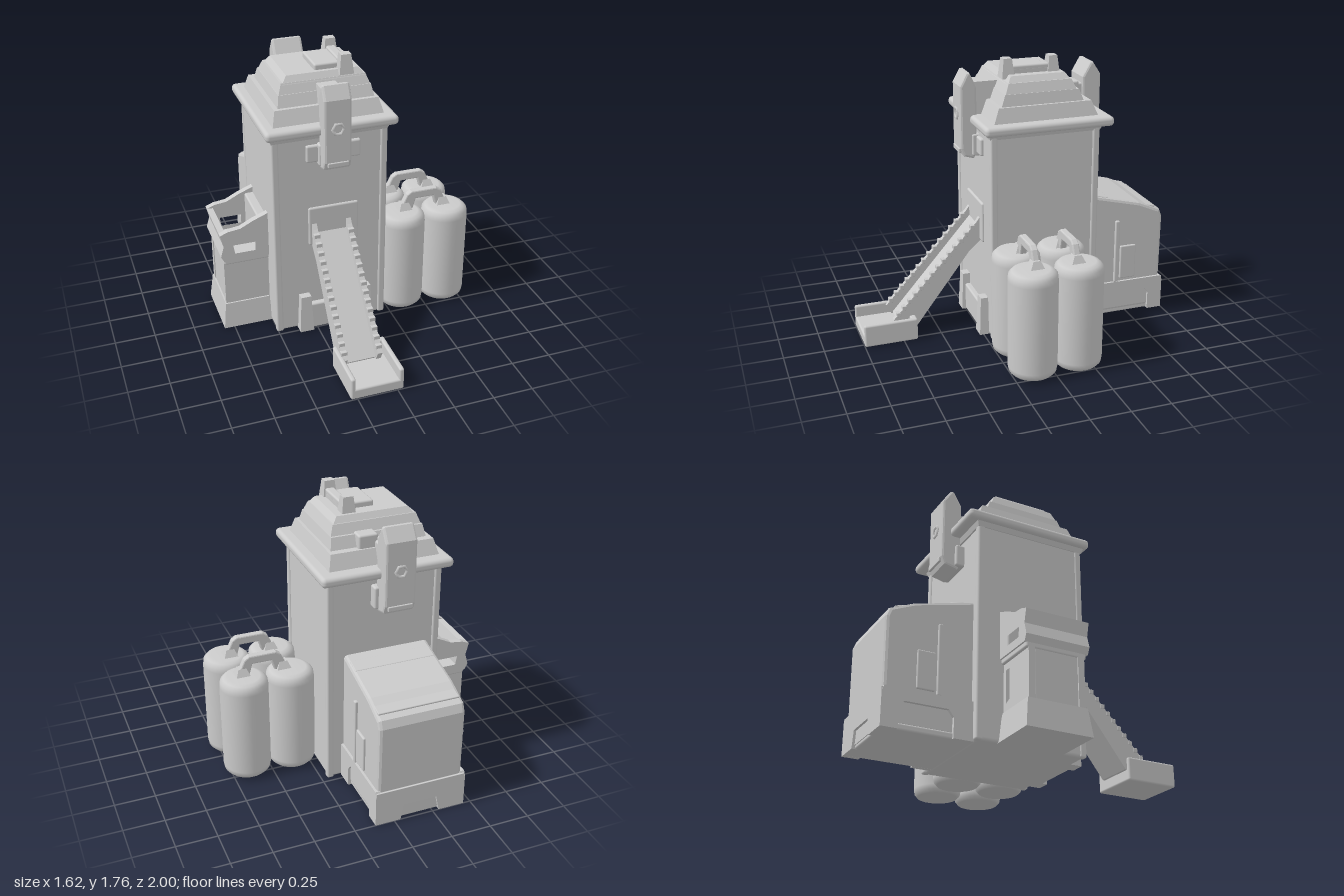
import * as THREE from 'three';
import { RoundedBoxGeometry } from 'three/addons/geometries/RoundedBoxGeometry.js';

const material = new THREE.MeshStandardMaterial({ color: 0xcccccc });

export function createModel() {
  const model = new THREE.Group();

  const add = (name, geometry) => {
    const mesh = new THREE.Mesh(geometry, material);
    mesh.name = name;
    model.add(mesh);
    return mesh;
  };

  // Softened box between two corners
  const block = (name, x0, x1, y0, y1, z0, z1, r = 0.012) => {
    const g = new RoundedBoxGeometry(x1 - x0, y1 - y0, z1 - z0, 2, r);
    g.translate((x0 + x1) / 2, (y0 + y1) / 2, (z0 + z1) / 2);
    return add(name, g);
  };

  // Box whose top face is pulled inwards
  const taper = (name, x0, x1, y0, y1, z0, z1, insetX, insetZ = insetX) => {
    const g = new THREE.BoxGeometry(x1 - x0, y1 - y0, z1 - z0);
    const p = g.attributes.position;
    for (let i = 0; i < p.count; i++) {
      if (p.getY(i) < 0) continue;
      p.setX(i, p.getX(i) - Math.sign(p.getX(i)) * insetX);
      p.setZ(i, p.getZ(i) - Math.sign(p.getZ(i)) * insetZ);
    }
    g.computeVertexNormals();
    g.translate((x0 + x1) / 2, (y0 + y1) / 2, (z0 + z1) / 2);
    return add(name, g);
  };

  // Outline extruded along z, points are [x, y]
  const vec = (pts) => pts.map(([a, b]) => new THREE.Vector2(a, b));
  const outline = (pts, from, to, holes = [], bevel = 0) => {
    const shape = new THREE.Shape(vec(pts));
    holes.forEach((h) => shape.holes.push(new THREE.Path(vec(h))));
    const g = new THREE.ExtrudeGeometry(shape, {
      depth: to - from - 2 * bevel, bevelEnabled: bevel > 0, bevelSize: bevel,
      bevelThickness: bevel, bevelOffset: -bevel, bevelSegments: 2,
    });
    return g.translate(0, 0, from + bevel);
  };
  const prismZ = (name, pts, ...rest) => add(name, outline(pts, ...rest));
  // Outline extruded along x, points are [z, y]
  const prismX = (name, pts, from, to, holes = [], bevel = 0) => {
    const flip = (list) => list.map(([z, y]) => [-z, y]);
    return add(name, outline(flip(pts), from, to, holes.map(flip), bevel).rotateY(Math.PI / 2));
  };

  // Tower with slim corner posts
  block('tower', -0.505, 0.205, 0, 1.38, -0.465, 0.215, 0.02);
  for (const x of [-0.51, 0.17]) {
    for (const z of [-0.475, 0.18]) block('cornerPost', x, x + 0.045, 0, 1.37, z, z + 0.045);
  }

  // Stepped roof
  taper('eavesCove', -0.51, 0.21, 1.32, 1.37, -0.475, 0.225, -0.02);
  block('eaves', -0.55, 0.27, 1.35, 1.41, -0.55, 0.27, 0.025);
  taper('lowerRoof', -0.49, 0.2, 1.4, 1.5, -0.47, 0.2, 0.025, 0.04);
  taper('middleRoof', -0.44, 0.16, 1.49, 1.57, -0.39, 0.14, 0.015, 0.03);
  taper('upperRoof', -0.425, 0.145, 1.56, 1.63, -0.35, 0.11, 0.025, 0.03);
  taper('roofCap', -0.395, 0.12, 1.62, 1.665, -0.32, 0.085, 0.035, 0.03);
  block('roofPlate', -0.18, 0.03, 1.65, 1.7, -0.21, 0.03);
  block('roofRail', -0.03, 0.03, 1.68, 1.715, -0.22, 0.05);
  for (const z of [0.055, -0.235]) {
    taper('roofPost', -0.045, 0.045, 1.64, 1.76, z - 0.04, z + 0.04, 0.014, 0.014);
  }
  block('roofPeg', -0.12, 0, 1.48, 1.58, -0.42, -0.32);
  taper('frontRoofBracket', -0.2, -0.06, 1.4, 1.61, 0.06, 0.26, 0.01, 0.01);
  block('backRoofBracket', -0.24, -0.1, 1.4, 1.54, -0.52, -0.36);

  // Upright arms, pointed at the top, with a socket on the face
  const arm = (side, x0, x1, face, back) => {
    const s = Math.sign(face);
    const mid = (face + back) / 2;
    prismX(side + 'Arm', [
      [back, 1.17], [back + s * 0.02, 1.13], [face - s * 0.02, 1.15], [face, 1.2],
      [face, 1.59], [mid + s * 0.01, 1.67], [mid - s * 0.01, 1.67], [back, 1.58],
    ], x0, x1, [], 0.014);
    const cx = (x0 + x1) / 2;
    const ring = add(side + 'ArmSocket', new THREE.TorusGeometry(0.035, 0.01, 6, 6));
    ring.position.set(cx, 1.41, face);
    block(side + 'ArmBand', x0 + 0.02, x1 - 0.02, 1.17, 1.2, face - 0.008, face + 0.008, 0.005);
  };
  arm('front', -0.22, -0.05, 0.33, 0.225);
  arm('back', -0.28, -0.085, -0.605, -0.48);
  block('frontArmMount', -0.23, -0.04, 1.15, 1.29, 0.2, 0.26);
  block('frontArmPlate', -0.3, 0.04, 1.17, 1.28, 0.19, 0.235);
  block('backArmMount', -0.3, -0.06, 1.15, 1.29, -0.52, -0.45);

  // Slide with toothed rails
  block('slideHeader', -0.29, 0.03, 0.6, 0.86, 0.17, 0.228);
  prismX('slideDeck', [
    [0.2, 0.72], [0.76, 0.08], [0.74, 0.04], [0.65, 0.07], [0.3, 0.53], [0.2, 0.61],
  ], -0.26, -0.03);
  for (const x of [-0.27, -0.05]) {
    prismX('slideRail', [
      [0.2, 0.79], [0.25, 0.72], [0.8, 0.13], [0.76, 0.05], [0.65, 0.07], [0.3, 0.53], [0.2, 0.62],
    ], x, x + 0.03);
    for (let i = 0; i < 14; i++) {
      const t = (i + 0.5) / 14;
      const tooth = block('railTooth', -0.019, 0.019, -0.014, 0.014, -0.014, 0.014, 0.003);
      tooth.position.set(x + 0.015, 0.71 - 0.57 * t, 0.255 + 0.53 * t);
    }
  }

  // Tray at the foot of the slide, open to the front
  block('trayFloor', -0.285, 0.035, 0, 0.07, 0.66, 1);
  for (const x of [-0.29, 0.01]) block('traySide', x, x + 0.03, 0, 0.145, 0.66, 1);
  block('trayBack', -0.28, 0.03, 0, 0.145, 0.66, 0.7);

  // Footings on the tower front
  for (const x of [-0.37, 0.025]) taper('frontFooting', x, x + 0.09, 0, 0.25, 0.18, 0.275, 0.012);
  block('frontPlinth', -0.3, 0.04, 0, 0.18, 0.18, 0.25);

  // Four tanks with handles
  const tankProfile = vec([
    [0, 0.01], [0.125, 0.01], [0.144, 0.03], [0.149, 0.06], [0.149, 0.61],
    [0.144, 0.645], [0.125, 0.665], [0.1, 0.675], [0, 0.675],
  ]);
  for (const z of [-0.175, 0.12]) {
    for (const x of [0.365, 0.66]) {
      const tank = add('tank', new THREE.LatheGeometry(tankProfile, 32));
      tank.position.set(z < 0 ? x - 0.02 : x, 0, z);
    }
    const hz = z < 0 ? -0.155 : 0.1;
    prismZ('tankHandle', [
      [0.34, 0.66], [0.37, 0.71], [0.4, 0.775], [0.43, 0.795], [0.6, 0.795], [0.63, 0.775],
      [0.66, 0.71], [0.7, 0.66], [0.6, 0.67], [0.58, 0.74], [0.46, 0.74], [0.44, 0.67],
    ], hz - 0.022, hz + 0.022, [], 0.008);
    for (const x of [0.385, 0.645]) {
      taper('handleFoot', x - 0.05, x + 0.05, 0.66, 0.72, hz - 0.05, hz + 0.05, 0.025, 0.028);
    }
  }

  // Rear housing with a sloping ribbed roof
  prismX('rearHousing', [
    [-0.44, 0.02], [-0.985, 0.02], [-0.99, 0.65], [-0.97, 0.7], [-0.82, 0.765],
    [-0.6, 0.82], [-0.5, 0.845], [-0.44, 0.86],
  ], -0.435, 0.105, [], 0.02);
  for (let i = 0; i < 4; i++) {
    const z = -0.56 - i * 0.11;
    const rib = block('roofRib', -0.42, 0.09, -0.01, 0.01, -0.045, 0.045, 0.006);
    rib.position.set(0, 0.823 - i * 0.032, z);
    rib.rotation.x = -0.26;
  }
  // Footed base skirt: arches at the sides, slot at the back
  const skirt = [
    [-0.46, 0], [-0.58, 0], [-0.58, 0.12], [-0.61, 0.16], [-0.87, 0.16], [-0.9, 0.12],
    [-0.9, 0], [-1, 0], [-1, 0.2], [-0.985, 0.23], [-0.46, 0.23],
  ];
  for (const x of [-0.455, 0.09]) prismX('skirtSide', skirt, x, x + 0.03);
  prismZ('skirtBack', [
    [-0.45, 0], [-0.29, 0], [-0.27, 0.1], [-0.06, 0.1], [-0.04, 0], [0.115, 0], [0.115, 0.22], [-0.45, 0.22],
  ], -1, -0.97);
  block('housingFloor', -0.44, 0.1, 0, 0.04, -0.98, -0.45);
  for (const x of [-0.445, 0.1]) {
    block('housingPanel', x, x + 0.02, 0.25, 0.48, -0.8, -0.69, 0.008);
    block('housingPipe', x - 0.003, x + 0.023, 0.23, 0.66, -0.68, -0.65, 0.008);
  }

  // Side hopper: footed base, notched body and open bin
  taper('hopperBase', -0.815, -0.49, 0, 0.17, -0.335, 0.075, 0.02, 0.02);
  block('hopperCore', -0.785, -0.49, 0.1, 0.5, -0.27, 0.01);
  const notch = [[-0.74, 0.36], [-0.68, 0.42], [-0.53, 0.42], [-0.53, 0.22], [-0.6, 0.25]];
  const slot = [[-0.73, 0.6], [-0.59, 0.6], [-0.59, 0.54], [-0.72, 0.54]];
  const binWall = [
    [-0.79, 0.49], [-0.81, 0.53], [-0.79, 0.6], [-0.81, 0.68], [-0.76, 0.7], [-0.68, 0.71],
    [-0.6, 0.75], [-0.5, 0.79], [-0.5, 0.49],
  ];
  for (const z of [-0.305, 0.005]) {
    prismZ('hopperSkin', [[-0.79, 0.14], [-0.79, 0.5], [-0.5, 0.5], [-0.5, 0.14]], z, z + 0.04, [notch]);
  }
  for (const z of [-0.33, 0.03]) prismZ('binSide', binWall, z, z + 0.04, [slot]);
  prismZ('binOuterWall', [
    [-0.79, 0.49], [-0.81, 0.53], [-0.79, 0.6], [-0.81, 0.68], [-0.77, 0.68], [-0.75, 0.6], [-0.75, 0.49],
  ], -0.31, 0.05);
  block('binInnerWall', -0.56, -0.49, 0.48, 0.75, -0.31, 0.05);
  block('binFloor', -0.79, -0.5, 0.46, 0.51, -0.32, 0.06);

  return model;
}
